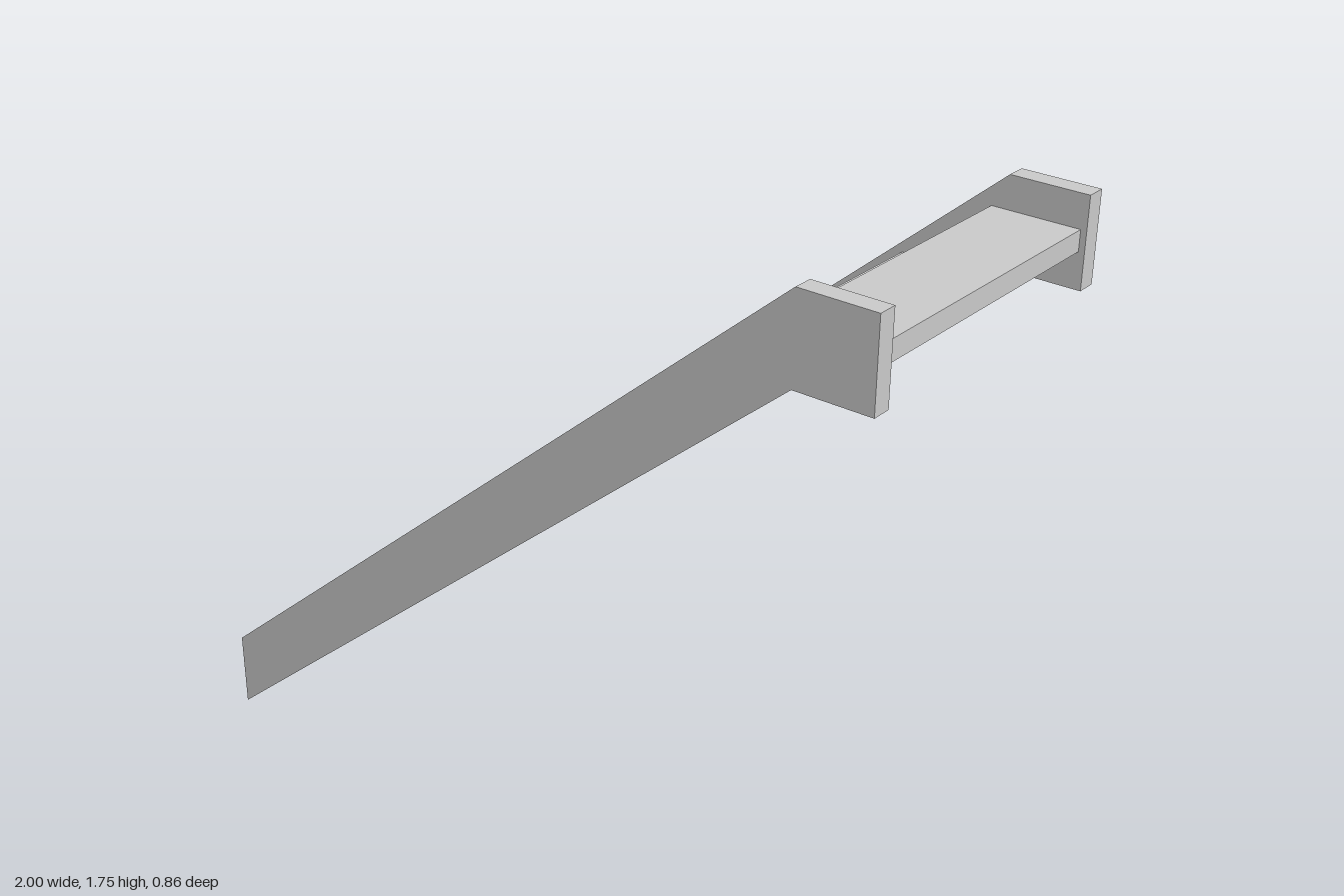
import * as THREE from 'three';

export function createModel() {
  const model = new THREE.Group();
  const material = new THREE.MeshStandardMaterial({ color: 0xcccccc, flatShading: true });
  const inner = 0.38;       // half the clear width between the stringers
  const thickness = 0.05;   // stringer thickness

  // Sloping side boards with a short level end at the top
  const profile = new THREE.Shape([
    [-1, 0], [0.8, 1.525], [1, 1.525], [1, 1.75], [0.8, 1.75], [-1, 0.205],
  ].map(([x, y]) => new THREE.Vector2(x, y)));
  const board = new THREE.ExtrudeGeometry(profile, { depth: thickness, bevelEnabled: false });
  for (const [name, z] of [['frontStringer', inner], ['backStringer', -inner - thickness]]) {
    const stringer = new THREE.Mesh(board, material);
    stringer.name = name;
    stringer.position.z = z;
    model.add(stringer);
  }

  // A flat board between the stringers, placed by its lower -x edge
  function addStep(name, x, y, depth, height) {
    const step = new THREE.Mesh(new THREE.BoxGeometry(depth, height, inner * 2), material);
    step.name = name;
    step.position.set(x + depth / 2, y + height / 2, 0);
    model.add(step);
  }

  // Treads, slightly unevenly spaced: [start x, underside y]
  const treads = [
    [-0.93, 0.226], [-0.75, 0.379], [-0.573, 0.531], [-0.371, 0.694], [-0.183, 0.865],
    [0.013, 1.033], [0.2, 1.185], [0.356, 1.32], [0.535, 1.468],
  ];
  treads.forEach(([x, y], i) => addStep(`tread${i + 1}`, x, y, 0.187, 0.028));

  // Thicker landing board at the top
  addStep('landing', 0.76, 1.615, 0.225, 0.052);

  return model;
}
